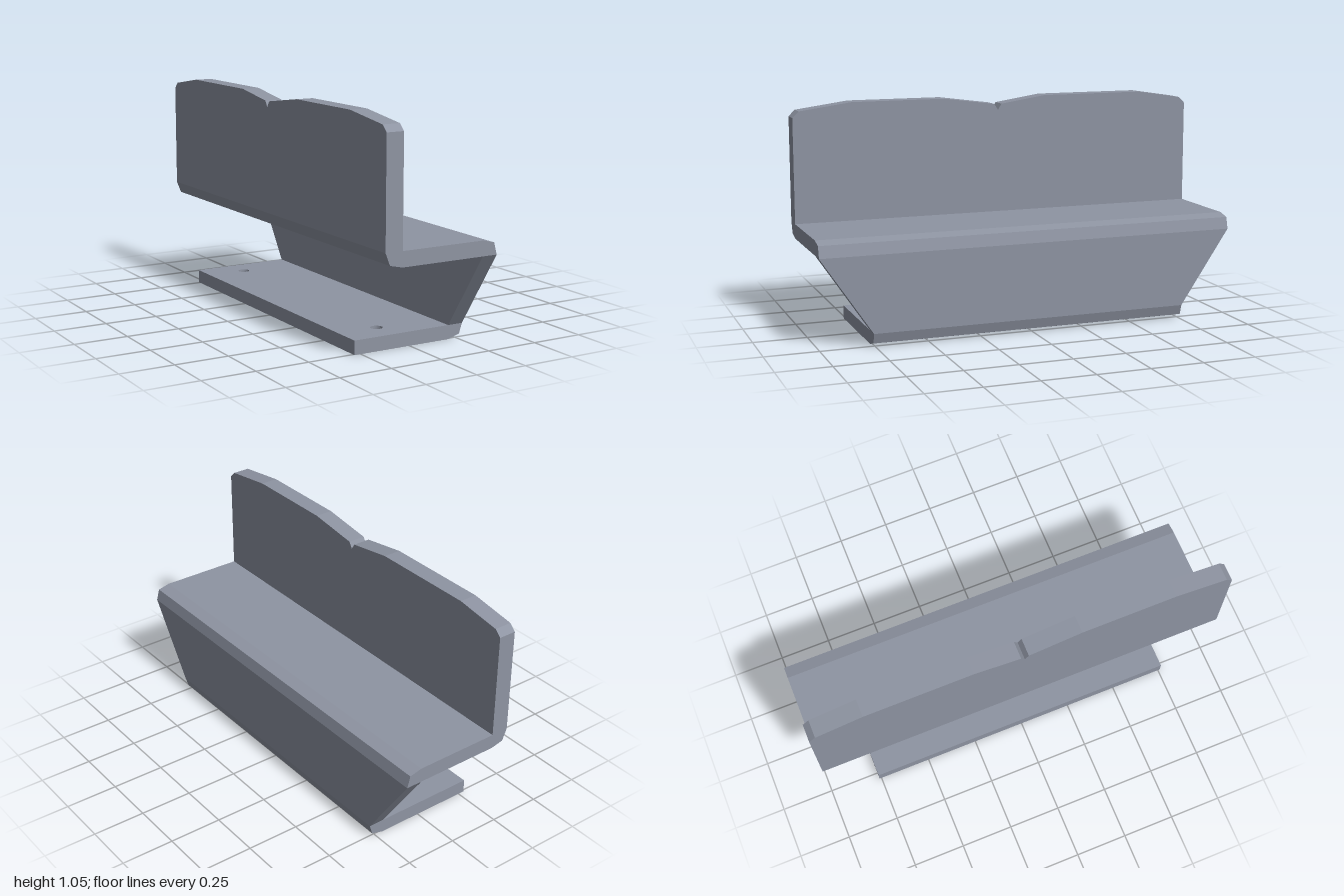
import * as THREE from 'three';

const steel = new THREE.MeshStandardMaterial({ color: 0x8e94a2 });
steel.name = 'blue grey steel';

const outline = (pts) => new THREE.Shape(pts.map(([a, b]) => new THREE.Vector2(a, b)));

const extrude = (shape, depth) =>
  new THREE.ExtrudeGeometry(shape, { depth, bevelEnabled: false, curveSegments: 24 });

// Profile in x, y swept along z, centred
const alongZ = (pts, half) => extrude(outline(pts), 2 * half).translate(0, 0, -half);

// Profile in z, y given thickness from x0 to x1
const alongX = (pts, x0, x1) =>
  extrude(outline(pts.map(([z, y]) => [-z, y])), x1 - x0).rotateY(Math.PI / 2).translate(x0, 0, 0);

export function createModel() {
  const group = new THREE.Group();
  group.name = 'bentPlateBracket';
  const add = (name, geometry) => {
    const mesh = new THREE.Mesh(geometry, steel);
    mesh.name = name;
    group.add(mesh);
  };

  const wallLeft = -0.284, wallRight = -0.2;
  const webIn = 0.207, webOut = 0.281;
  const footTop = 0.064, shelfBottom = 0.421, shelfTop = 0.49;
  const footHalf = 0.76;

  // Upright wall with two shallow crests and a V notch between them
  add('uprightWall', alongX([
    [1, shelfTop], [1, 0.984], [0.97, 1.013], [0.72, 1.047], [0.27, 1.047], [0.018, 1.013],
    [0, 0.984], [-0.018, 1.013], [-0.24, 1.047], [-0.75, 1.047], [-0.97, 1.013],
    [-1, 0.984], [-1, shelfTop],
  ], wallLeft, wallRight));

  // Shelf with a chamfered bend at each edge
  add('shelf', alongZ([
    [wallLeft, shelfTop], [-0.262, 0.435], [wallRight, shelfBottom], [webOut, shelfBottom],
    [0.266, 0.476], [webIn, shelfTop],
  ], 1));

  // Web tapering down to the foot
  add('taperedWeb', alongX([
    [1, shelfBottom], [-1, shelfBottom], [-footHalf, footTop], [footHalf, footTop],
  ], webIn, webOut));

  // Foot bend
  add('footBend', alongZ([
    [webIn, 0], [0.266, 0.017], [webOut, footTop], [webIn, footTop],
  ], footHalf));

  // Foot plate with two screw holes
  const foot = outline([
    [-0.281, -footHalf], [webIn, -footHalf], [webIn, footHalf], [-0.281, footHalf],
  ]);
  for (const z of [-0.63, 0.63]) {
    foot.holes.push(new THREE.Path().absarc(-0.087, z, 0.028, 0, Math.PI * 2, true));
  }
  add('footPlate', extrude(foot, footTop).rotateX(-Math.PI / 2));

  return group;
}
